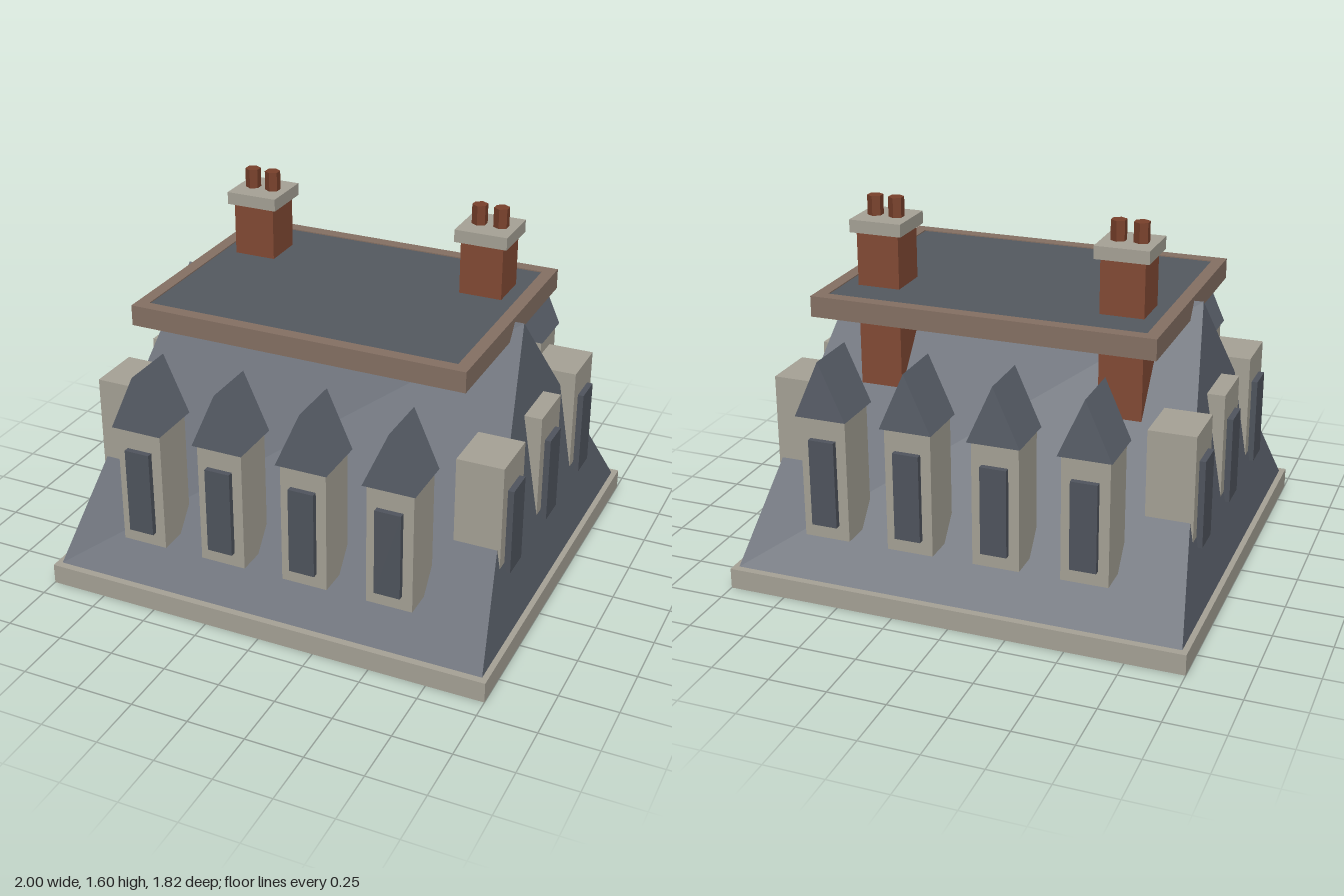
import * as THREE from 'three';

const mat = (name, color) => {
  const m = new THREE.MeshStandardMaterial({ color });
  m.name = name;
  return m;
};

export function createModel() {
  const model = new THREE.Group();
  model.name = 'mansardRoof';

  const stone = mat('stone', 0xa7a397);
  const slate = mat('slate', 0x5a606a);
  const glass = mat('windowGlass', 0x50555e);
  const lead = mat('leadFlat', 0x555a61);
  const trim = mat('brownTrim', 0x867164);
  const brick = mat('brick', 0x844b35);
  const clay = mat('clayPot', 0x7a412b);

  const add = (parent, name, geometry, material) => {
    const mesh = new THREE.Mesh(geometry, material);
    mesh.name = name;
    parent.add(mesh);
    return mesh;
  };
  // Box given by its extents on each axis
  const box = (parent, name, material, [x0, x1], [y0, y1], [z0, z1]) =>
    add(parent, name, new THREE.BoxGeometry(x1 - x0, y1 - y0, z1 - z0), material)
      .position.set((x0 + x1) / 2, (y0 + y1) / 2, (z0 + z1) / 2);
  const group = (name) => {
    const g = new THREE.Group();
    g.name = name;
    model.add(g);
    return g;
  };

  // Stone cornice under the roof
  box(model, 'cornice', stone, [-1, 1], [0, 0.09], [-0.912, 0.912]);

  // Hipped main roof: four eave corners and two ridge ends
  const A = [-0.975, 0.09, 0.88], B = [0.975, 0.09, 0.88];
  const C = [0.975, 0.09, -0.88], D = [-0.975, 0.09, -0.88];
  const L = [-0.785, 1.21, 0], R = [0.785, 1.21, 0];
  const faces = [A, B, R, A, R, L, B, C, R, C, D, L, C, L, R, D, A, L];
  const roof = new THREE.BufferGeometry();
  roof.setAttribute('position', new THREE.Float32BufferAttribute(faces.flat(), 3));
  roof.computeVertexNormals();
  add(model, 'mainRoof', roof, slate);

  // Flat top deck with its brown kerb
  const deck = group('topDeck');
  box(deck, 'deckPanel', lead, [-0.69, 0.69], [1.15, 1.225], [-0.5, 0.5]);
  for (const s of [-1, 1]) {
    const span = (a, b) => (s > 0 ? [a, b] : [-b, -a]);
    box(deck, 'longKerb', trim, [-0.745, 0.745], [1.14, 1.23], span(0.5, 0.555));
    box(deck, 'shortKerb', trim, span(0.69, 0.745), [1.14, 1.23], [-0.5, 0.5]);
  }

  // Gabled dormers on the front and back slopes
  const gable = new THREE.Shape();
  gable.moveTo(-0.112, 0.825);
  gable.lineTo(0.112, 0.825);
  gable.lineTo(0, 1.075);
  gable.closePath();
  const gableRoof = new THREE.ExtrudeGeometry(gable, { depth: 0.245, bevelEnabled: false });
  gableRoof.translate(0, 0, 0.624);
  for (const turn of [0, Math.PI]) {
    for (let i = 0; i < 4; i++) {
      const dormer = group('gabledDormer');
      box(dormer, 'dormerBody', stone, [-0.1, 0.1], [0.285, 0.825], [0.645, 0.848]);
      box(dormer, 'dormerWindow', glass, [-0.056, 0.056], [0.35, 0.73], [0.83, 0.873]);
      add(dormer, 'dormerRoof', gableRoof, slate);
      dormer.position.x = (i - 1.5) * 0.374;
      dormer.rotation.y = turn;
    }
  }

  // Flat-topped dormers on the two ends
  for (const turn of [0, Math.PI]) {
    for (const z of [-0.451, 0, 0.451]) {
      const dormer = group('endDormer');
      box(dormer, 'dormerBody', stone, [0.722, 0.923], [0.32, 0.855], [-0.122, 0.122]);
      box(dormer, 'dormerWindow', glass, [0.905, 0.949], [0.35, 0.73], [-0.067, 0.067]);
      dormer.position.z = z;
      dormer.rotation.y = turn;
    }
  }

  // Chimneys: brick stack, stone cap and two six-sided pots
  const pot = new THREE.CylinderGeometry(0.034, 0.034, 0.085, 6).toNonIndexed();
  pot.computeVertexNormals();
  for (const x of [-0.535, 0.535]) {
    const chimney = group('chimney');
    box(chimney, 'stack', brick, [-0.094, 0.094], [0.7, 1.46], [-0.094, 0.094]);
    box(chimney, 'cap', stone, [-0.116, 0.116], [1.46, 1.515], [-0.116, 0.116]);
    for (const px of [-0.048, 0.048]) {
      add(chimney, 'pot', pot, clay).position.set(px, 1.5575, 0);
    }
    chimney.position.set(x, 0, -0.243);
  }

  return model;
}
